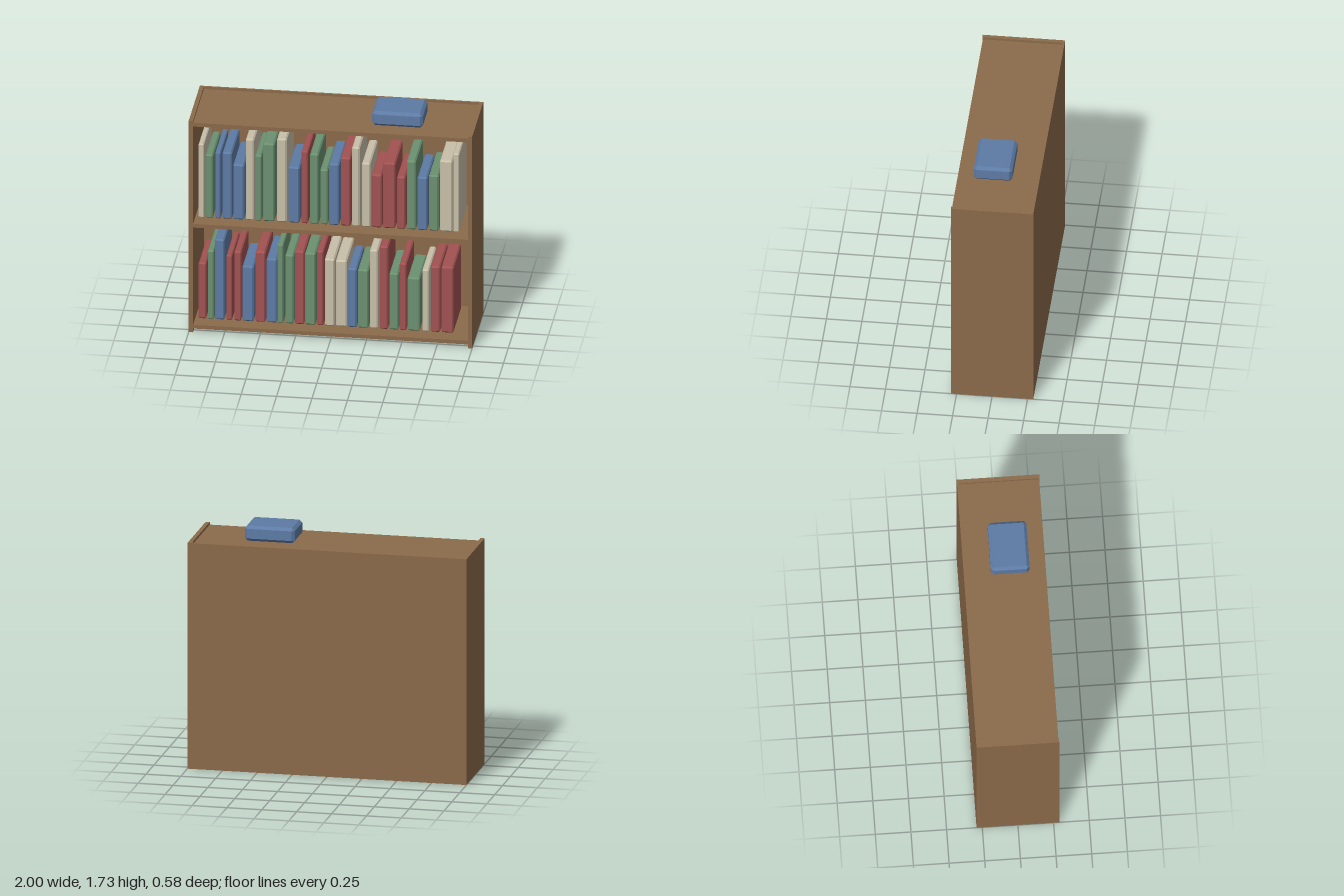
import * as THREE from 'three';
import { ConvexGeometry } from 'three/addons/geometries/ConvexGeometry.js';

const material = (name, color) => {
  const m = new THREE.MeshStandardMaterial({ color });
  m.name = name;
  return m;
};

// Box with every edge cut by a flat chamfer, centred on the origin
function chamferBox(w, h, d, bevel) {
  const points = [];
  for (const sx of [-1, 1]) for (const sy of [-1, 1]) for (const sz of [-1, 1]) {
    for (let axis = 0; axis < 3; axis++) {
      const inset = [bevel, bevel, bevel];
      inset[axis] = 0;
      points.push(new THREE.Vector3(
        sx * (w / 2 - inset[0]), sy * (h / 2 - inset[1]), sz * (d / 2 - inset[2])));
    }
  }
  return new ConvexGeometry(points);
}

// Rows of books: cover colour, left edge, right edge, top height
const UPPER = [
  ['c', -0.944, -0.906, 1.414], ['g', -0.895, -0.842, 1.334], ['b', -0.826, -0.788, 1.355],
  ['b', -0.775, -0.708, 1.36], ['b', -0.7, -0.622, 1.27], ['c', -0.611, -0.552, 1.473],
  ['g', -0.544, -0.499, 1.35], ['g', -0.491, -0.408, 1.446], ['c', -0.391, -0.322, 1.489],
  ['b', -0.311, -0.231, 1.275], ['r', -0.217, -0.172, 1.404], ['g', -0.158, -0.097, 1.388],
  ['g', -0.086, -0.032, 1.27], ['b', -0.024, 0.048, 1.318], ['r', 0.059, 0.129, 1.372],
  ['c', 0.139, 0.193, 1.457], ['c', 0.209, 0.268, 1.34], ['r', 0.276, 0.349, 1.254],
  ['r', 0.357, 0.445, 1.35], ['r', 0.456, 0.515, 1.249], ['g', 0.525, 0.59, 1.377],
  ['b', 0.601, 0.67, 1.254], ['g', 0.681, 0.751, 1.275], ['c', 0.759, 0.847, 1.393],
  ['c', 0.853, 0.895, 1.452],
];
const LOWER = [
  ['r', -0.944, -0.89, 0.495], ['g', -0.879, -0.836, 0.591], ['b', -0.828, -0.761, 0.684],
  ['r', -0.748, -0.708, 0.564], ['r', -0.692, -0.643, 0.596], ['b', -0.635, -0.555, 0.489],
  ['r', -0.542, -0.472, 0.607], ['b', -0.464, -0.391, 0.556], ['g', -0.386, -0.346, 0.671],
  ['g', -0.332, -0.273, 0.594], ['r', -0.263, -0.198, 0.628], ['g', -0.193, -0.118, 0.618],
  ['r', -0.11, -0.062, 0.639], ['c', -0.054, 0.016, 0.58], ['c', 0.024, 0.102, 0.575],
  ['b', 0.11, 0.172, 0.516], ['g', 0.18, 0.255, 0.513], ['c', 0.265, 0.322, 0.671],
  ['r', 0.335, 0.394, 0.703], ['g', 0.402, 0.466, 0.5], ['r', 0.475, 0.523, 0.58],
  ['g', 0.531, 0.617, 0.473], ['c', 0.635, 0.681, 0.54], ['r', 0.694, 0.761, 0.57],
  ['r', 0.769, 0.855, 0.572],
];

export function createModel() {
  const model = new THREE.Group();
  model.name = 'bookcase';
  const wood = material('wood', 0x8b6a4a);
  const covers = {
    b: material('blue cover', 0x5d7ba5),
    g: material('green cover', 0x6b9170),
    r: material('red cover', 0xa35252),
    c: material('cream cover', 0xc9c0aa),
  };

  // Adds a mesh spanning the given ranges; a bevel chamfers its edges
  const addBlock = (parent, name, mat, [x0, x1], [y0, y1], [z0, z1], bevel = 0) => {
    const size = [x1 - x0, y1 - y0, z1 - z0];
    const geometry = bevel ? chamferBox(...size, bevel) : new THREE.BoxGeometry(...size);
    const mesh = new THREE.Mesh(geometry, mat);
    mesh.name = name;
    mesh.position.set((x0 + x1) / 2, (y0 + y1) / 2, (z0 + z1) / 2);
    parent.add(mesh);
  };

  // Case: two sides, three boards and a thin back
  const frame = new THREE.Group();
  frame.name = 'caseFrame';
  model.add(frame);
  const depth = [-0.275, 0.29];
  addBlock(frame, 'leftSide', wood, [0.97, 1], [0, 1.635], depth);
  addBlock(frame, 'rightSide', wood, [-1, -0.97], [0, 1.635], depth);
  const boards = { bottomShelf: 0.027, middleShelf: 0.808, topBoard: 1.59 };
  for (const [name, y] of Object.entries(boards)) {
    addBlock(frame, name, wood, [-0.97, 0.97], [y, y + 0.028], [-0.275, 0.286]);
  }
  addBlock(frame, 'backPanel', wood, [-1, 1], [0, 1.635], [-0.29, -0.275]);

  // Standing books on both shelves
  const addRow = (name, books, floor) => {
    const row = new THREE.Group();
    row.name = name;
    model.add(row);
    for (const [cover, x0, x1, top] of books) {
      addBlock(row, 'book', covers[cover], [x0, x1], [floor, top], [-0.2, 0.195],
        Math.min(0.01, (x1 - x0) * 0.18));
    }
  };
  addRow('upperBooks', UPPER, 0.845);
  addRow('lowerBooks', LOWER, 0.063);

  // Book lying on top
  addBlock(model, 'lyingBook', covers.b, [0.276, 0.635], [1.62, 1.73], [-0.1, 0.172], 0.02);

  return model;
}
